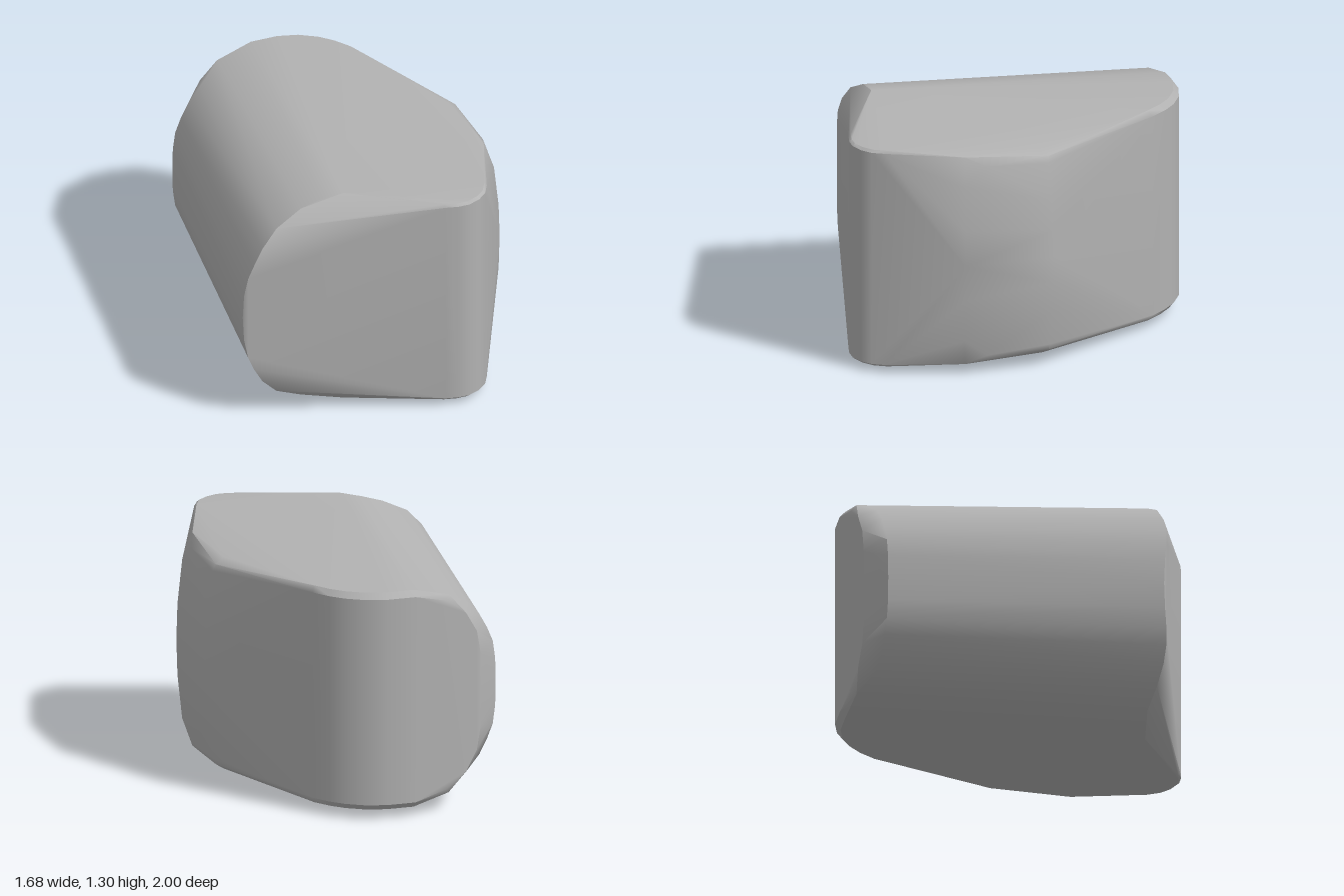
import * as THREE from 'three';
import { ConvexGeometry } from 'three/addons/geometries/ConvexGeometry.js';

const MID = 0.65; // height of the horizontal mirror plane

// Area-weighted normals, kept sharp where faces meet above the crease angle
function creaseNormals(geo, crease) {
  const pos = geo.attributes.position;
  const faces = [], corners = new Map();
  const key = (i) => [pos.getX(i), pos.getY(i), pos.getZ(i)].map((v) => Math.round(v * 1e4)).join();
  for (let i = 0; i < pos.count; i += 3) {
    const [a, b, c] = [0, 1, 2].map((k) => new THREE.Vector3().fromBufferAttribute(pos, i + k));
    const n = b.sub(a).cross(c.sub(a));
    faces.push(n);
    for (let k = 0; k < 3; k++) {
      const id = key(i + k);
      if (!corners.has(id)) corners.set(id, []);
      corners.get(id).push(n);
    }
  }
  const normals = new Float32Array(pos.count * 3);
  for (let i = 0; i < pos.count; i++) {
    const own = faces[Math.floor(i / 3)];
    const sum = own.clone();
    for (const n of corners.get(key(i))) if (n !== own && n.angleTo(own) < crease) sum.add(n);
    sum.normalize().toArray(normals, i * 3);
  }
  geo.setAttribute('normal', new THREE.BufferAttribute(normals, 3));
  return geo;
}

export function createModel() {
  const points = [];
  // Each point is x, z and its distance above and below the mirror plane
  const add = (x, z, h) => {
    points.push(new THREE.Vector3(x, MID + h, z));
    if (h > 0) points.push(new THREE.Vector3(x, MID - h, z));
  };

  // Rounded right flank: its front end and its back end
  [[-0.84, 0.45, 0], [-0.836, 0.457, 0.14], [-0.82, 0.472, 0.25], [-0.79, 0.485, 0.33],
    [-0.74, 0.49, 0.42], [-0.65, 0.49, 0.515], [-0.5, 0.5, 0.59], [-0.39, 0.53, 0.625],
    [-0.28, 0.58, 0.65]].forEach((p) => add(...p));
  [[-0.33, -0.92, 0], [-0.327, -0.92, 0.13], [-0.312, -0.92, 0.23], [-0.277, -0.918, 0.31],
    [-0.232, -0.914, 0.39], [-0.155, -0.912, 0.47], [-0.01, -0.965, 0.55]].forEach((p) => add(...p));

  // Chamfered back cap
  [[-0.19, -1, 0], [-0.188, -1, 0.2], [-0.165, -0.999, 0.33], [-0.1, -0.995, 0.44],
    [0.02, -0.985, 0.525]].forEach((p) => add(...p));

  // Rounded front nose and rounded back corner, each with a narrow rim
  const rim = (outline, wall, top, inset) => outline.forEach(([x, z]) => {
    add(x, z, wall);
    add(x * inset, z * inset, top);
  });
  rim([[0.12, 0.955], [0.18, 0.985], [0.24, 1], [0.31, 0.99], [0.37, 0.96], [0.42, 0.905]], 0.605, 0.618, 0.985);
  rim([[0.2, -0.972], [0.35, -0.935], [0.45, -0.88], [0.53, -0.8], [0.58, -0.72], [0.62, -0.62]], 0.57, 0.602, 0.97);

  // Two bulging vertical ridges on the left side
  [[0.84, 0.12, 0], [0.837, 0.12, 0.15], [0.822, 0.12, 0.32], [0.79, 0.115, 0.52],
    [0.775, 0.11, 0.555], [0.725, 0.12, 0.588]].forEach((p) => add(...p));
  [[0.725, 0.59, 0], [0.718, 0.59, 0.2], [0.695, 0.58, 0.44], [0.715, 0.45, 0.54],
    [0.65, 0.55, 0.592]].forEach((p) => add(...p));

  const grey = new THREE.MeshStandardMaterial({ color: 0xb2b2b2 });
  grey.name = 'grey';
  const block = new THREE.Mesh(creaseNormals(new ConvexGeometry(points), 0.6), grey);
  block.name = 'roundedBlock';

  const model = new THREE.Group();
  model.name = 'model';
  model.add(block);
  return model;
}
